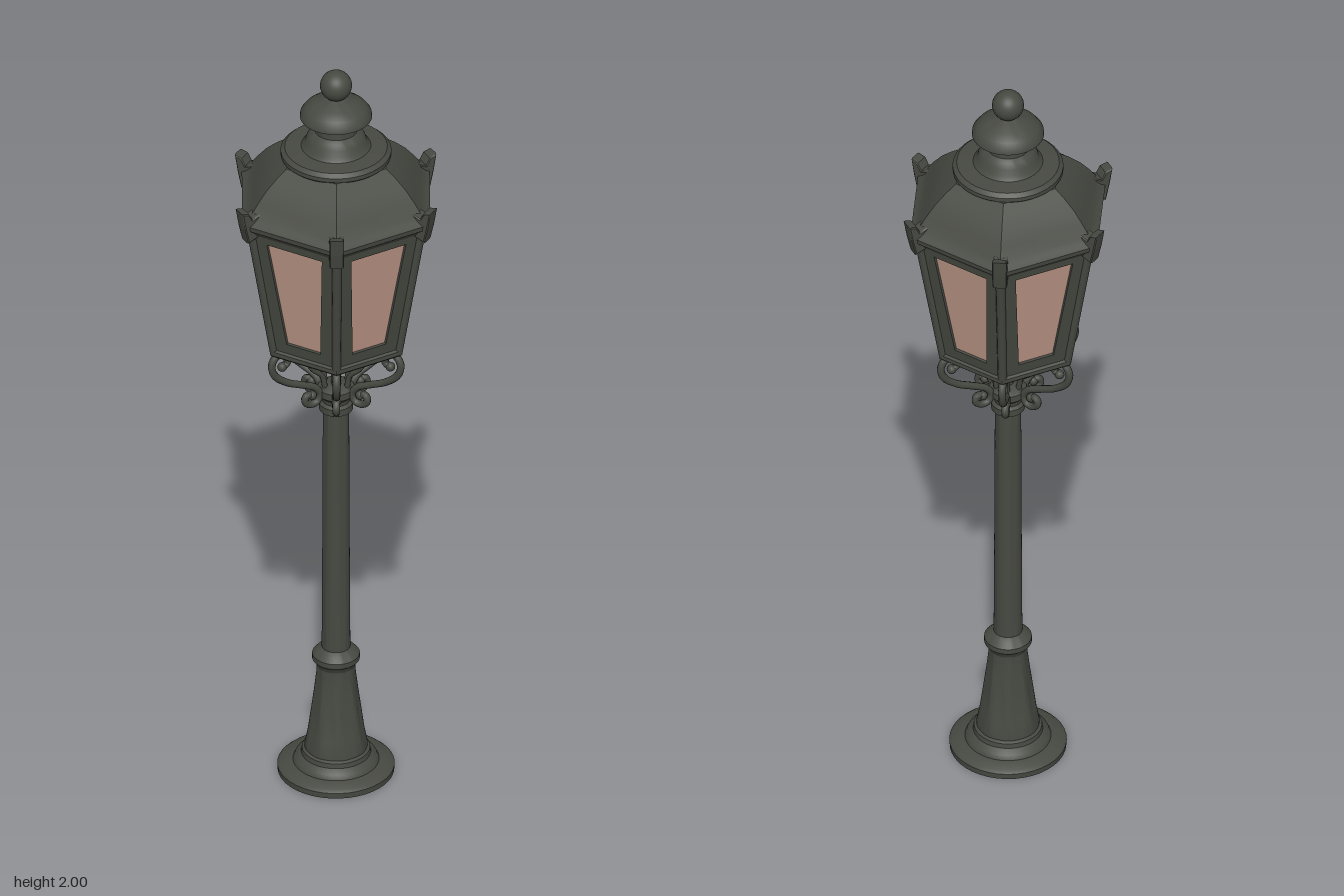
import * as THREE from 'three';
import { toCreasedNormals } from 'three/addons/utils/BufferGeometryUtils.js';

export function createModel() {
  const iron = new THREE.MeshStandardMaterial({ color: 0x474942, side: THREE.DoubleSide });
  iron.name = 'dark iron';
  const glass = new THREE.MeshStandardMaterial({ color: 0xbd9887, side: THREE.DoubleSide });
  glass.name = 'warm glass';

  const model = new THREE.Group();
  model.name = 'streetLamp';
  const V2 = (p) => new THREE.Vector2(p[0], p[1]);
  const V3 = (p) => new THREE.Vector3(p[0], p[1], p[2] ?? 0);

  function add(name, geometry, material = iron, parent = model) {
    const mesh = new THREE.Mesh(geometry, material);
    mesh.name = name;
    parent.add(mesh);
    return mesh;
  }
  const lathe = (pts, segs = 40, crease = 0.6) =>
    toCreasedNormals(new THREE.LatheGeometry(pts.map(V2), segs), crease);
  // Six-sided lathe with corners on the x axis
  const hexLathe = (pts) =>
    toCreasedNormals(new THREE.LatheGeometry(pts.map(V2), 6, Math.PI / 6), 0.4);

  // Foot plate, hollow underneath
  add('footPlate', lathe([
    [0, 0.04], [0.075, 0.04], [0.085, 0.012], [0.125, 0.012], [0.13, 0], [0.142, 0],
    [0.143, 0.015], [0.135, 0.022], [0.105, 0.028], [0.1, 0.04], [0.085, 0.05],
    [0.083, 0.062], [0.07, 0.07], [0.04, 0.075],
  ]));

  // Flared pedestal with shallow flutes
  const pedestal = new THREE.LatheGeometry([
    [0.076, 0.06], [0.077, 0.075], [0.07, 0.11], [0.062, 0.17], [0.054, 0.23], [0.048, 0.28], [0.047, 0.305],
  ].map(V2), 64);
  const pos = pedestal.attributes.position;
  for (let i = 0; i < pos.count; i++) {
    const x = pos.getX(i), y = pos.getY(i), z = pos.getZ(i);
    const fade = Math.sin(Math.PI * THREE.MathUtils.clamp((y - 0.06) / 0.245, 0, 1));
    const s = 1 - 0.09 * fade * (0.5 + 0.5 * Math.cos(8 * Math.atan2(z, x)));
    pos.setXYZ(i, x * s, y, z * s);
  }
  add('pedestal', toCreasedNormals(pedestal, 0.7));

  // Pole with its lower and upper collars
  add('pole', lathe([
    [0.046, 0.295], [0.05, 0.31], [0.058, 0.318], [0.058, 0.332], [0.046, 0.345], [0.035, 0.352],
    [0.034, 0.5], [0.032, 1.028], [0.041, 1.034], [0.041, 1.052], [0.033, 1.058],
    [0.035, 1.07], [0.045, 1.08], [0.045, 1.098], [0.03, 1.108], [0, 1.11],
  ]));
  const rod = add('centreRod', new THREE.CylinderGeometry(0.011, 0.013, 0.16, 16));
  rod.position.y = 1.18;

  // Scrolled brackets under each lantern corner
  const scroll = new THREE.CatmullRomCurve3([
    [0.068, 1.092], [0.08, 1.097], [0.088, 1.083], [0.076, 1.068], [0.055, 1.07], [0.046, 1.09],
    [0.06, 1.112], [0.095, 1.13], [0.14, 1.152], [0.173, 1.182], [0.181, 1.213], [0.166, 1.236],
    [0.143, 1.23], [0.138, 1.208], [0.152, 1.2],
  ].map(V3));
  const scrollGeo = new THREE.TubeGeometry(scroll, 70, 0.0095, 8);
  // Inner stay curving from the pole up to the lantern floor
  const stay = new THREE.CatmullRomCurve3(
    [[0.03, 1.1], [0.04, 1.14], [0.066, 1.165], [0.082, 1.2], [0.08, 1.235]].map(V3));
  const stayGeo = new THREE.TubeGeometry(stay, 16, 0.007, 6);
  const tipGeo = new THREE.SphereGeometry(0.012, 12, 8);

  // Leaning horn profile on the eave corners
  const hornGeo = new THREE.ExtrudeGeometry(new THREE.Shape([
    [0.215, 1.615], [0.254, 1.6], [0.263, 1.64], [0.271, 1.682], [0.257, 1.678], [0.246, 1.658], [0.215, 1.672],
  ].map(V2)), { depth: 0.02, bevelEnabled: true, bevelSize: 0.004, bevelThickness: 0.008, bevelSegments: 2 });
  hornGeo.translate(0, 0, -0.01);

  // Lantern wall: tapered panel with a window opening
  const y0 = 1.25, y1 = 1.625, r0 = 0.178, r1 = 0.243;
  const apothem = Math.cos(Math.PI / 6);
  const rise = y1 - y0, lean = (r1 - r0) * apothem;
  const length = Math.hypot(rise, lean), tilt = Math.atan2(lean, rise);
  const trapezoid = (a, va, b, vb) => [[-a, va], [a, va], [b, vb], [-b, vb]].map(V2);
  const opening = trapezoid(0.047, 0.04, 0.077, length - 0.035);
  const panelShape = new THREE.Shape(trapezoid(r0 / 2, 0, r1 / 2, length));
  panelShape.holes.push(new THREE.Path(opening));
  const place = (geo, z) => geo.translate(0, 0, z).rotateX(tilt).translate(0, y0, r0 * apothem);
  const panelGeo = place(new THREE.ExtrudeGeometry(panelShape, { depth: 0.012, bevelEnabled: false }), -0.012);
  const paneGeo = place(new THREE.ShapeGeometry(new THREE.Shape(opening)), -0.007);

  // Corner bar along each lantern edge
  const barLength = Math.hypot(rise, r1 - r0);
  const barGeo = new THREE.CylinderGeometry(0.012, 0.011, barLength, 10);
  barGeo.rotateZ(-Math.atan2(r1 - r0, rise)).translate((r0 + r1) / 2 - 0.004, (y0 + y1) / 2, 0);

  for (let i = 0; i < 6; i++) {
    const side = new THREE.Group();
    side.name = 'lanternSide' + (i + 1);
    side.rotation.y = i * Math.PI / 3;
    add('windowFrame', panelGeo, iron, side);
    add('windowPane', paneGeo, glass, side);
    const corner = new THREE.Group();
    corner.name = 'lanternCorner' + (i + 1);
    corner.rotation.y = i * Math.PI / 3;
    add('cornerBar', barGeo, iron, corner);
    add('eaveHorn', hornGeo, iron, corner);
    add('scrollBracket', scrollGeo, iron, corner);
    add('innerStay', stayGeo, iron, corner);
    for (const end of [0, 1]) add('scrollTip', tipGeo, iron, corner).position.copy(scroll.getPoint(end));
    model.add(side, corner);
  }

  // Lantern floor rim, open in the middle
  add('floorRim', hexLathe([
    [0.15, 1.262], [0.15, 1.238], [0.178, 1.238], [0.186, 1.245], [0.186, 1.256], [0.178, 1.262], [0.15, 1.262],
  ]));

  // Hexagonal roof with moulded eave and rounded slopes
  add('roof', hexLathe([
    [0, 1.62], [0.243, 1.612], [0.25, 1.622], [0.262, 1.63], [0.264, 1.643], [0.252, 1.65],
    [0.24, 1.662], [0.22, 1.69], [0.195, 1.72], [0.167, 1.745], [0.14, 1.765], [0, 1.775],
  ]));

  // Round chimney, cap and ball finial
  add('chimney', lathe([
    [0.1, 1.752], [0.126, 1.758], [0.135, 1.766], [0.135, 1.777], [0.125, 1.786], [0.085, 1.79],
    [0.076, 1.8], [0.072, 1.815], [0.062, 1.828], [0.052, 1.835], [0.05, 1.865],
    [0.078, 1.868], [0.088, 1.874], [0.087, 1.884], [0.075, 1.9], [0.055, 1.914],
    [0.03, 1.922], [0.018, 1.928], [0.016, 1.94],
  ]));
  add('ballFinial', new THREE.SphereGeometry(0.039, 28, 20)).position.y = 1.961;

  return model;
}
